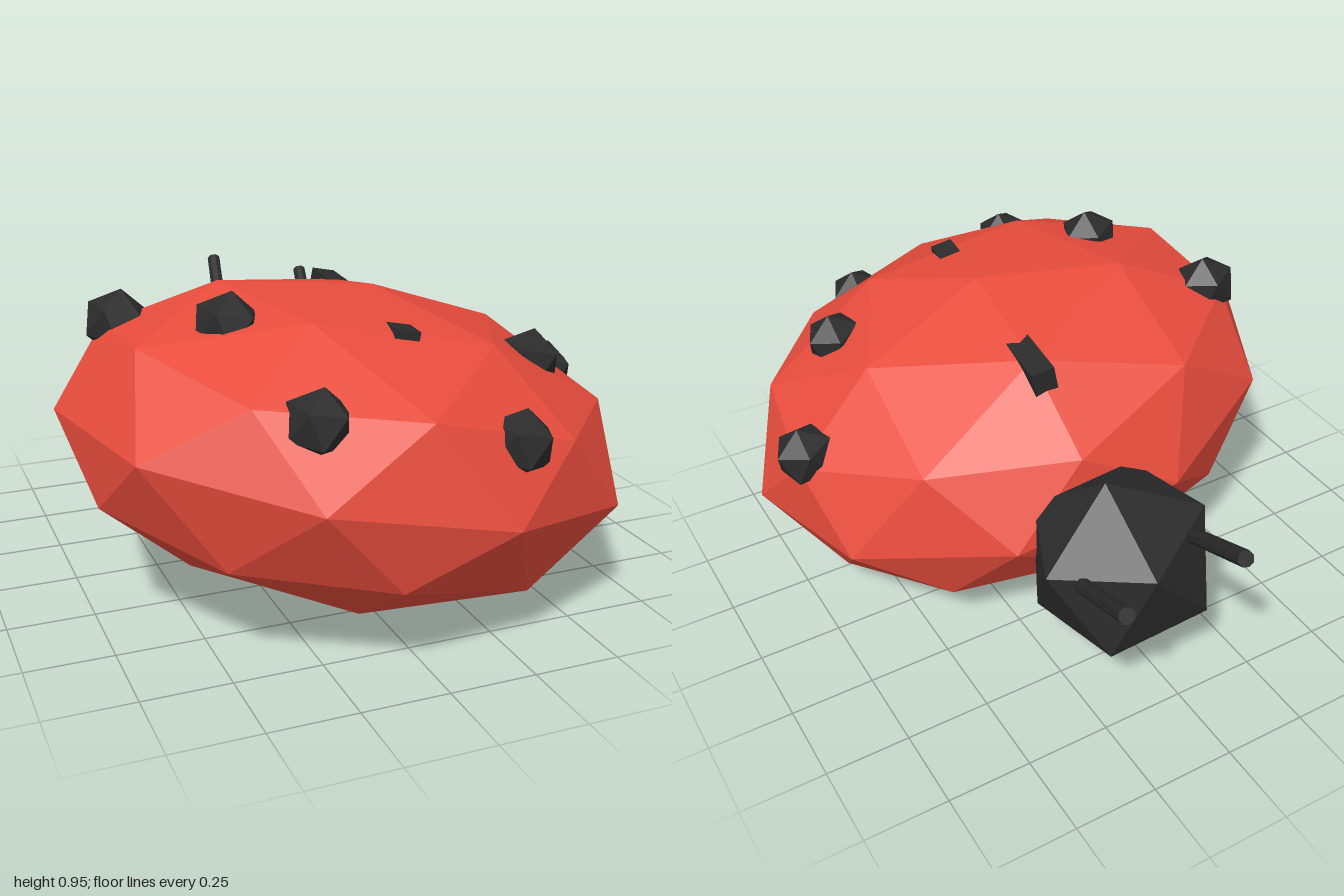
import * as THREE from 'three';

const red = new THREE.MeshStandardMaterial({ color: 0xe74c3c, flatShading: true });
const black = new THREE.MeshStandardMaterial({ color: 0x2b2b2b, flatShading: true });

// Faceted ball with one vertex straight up and an upper-ring vertex towards -z
function facetedBall(radius, detail) {
  const geometry = new THREE.IcosahedronGeometry(radius, detail);
  geometry.rotateX(-Math.atan((1 + Math.sqrt(5)) / 2));
  geometry.rotateY(Math.PI);
  return geometry;
}

function addPart(parent, name, geometry, material, x, y, z) {
  const mesh = new THREE.Mesh(geometry, material);
  mesh.name = name;
  mesh.position.set(x, y, z);
  parent.add(mesh);
  return mesh;
}

export function createModel() {
  const model = new THREE.Group();
  model.name = 'ladybug';

  // Whole beetle is tilted; its head points to -z
  const beetle = new THREE.Group();
  beetle.name = 'beetle';
  beetle.position.set(0, 0.46, 0.285);
  beetle.rotation.set(-0.014, -0.1, -0.19);
  model.add(beetle);

  // Flattened shell and round head
  const shell = facetedBall(1, 1);
  shell.scale(0.84, 0.454, 0.73);
  addPart(beetle, 'shell', shell, red, 0, 0, 0);
  addPart(beetle, 'head', facetedBall(0.29, 0), black, 0, -0.05, -0.808);

  // Wing seam, mostly sunk into the shell
  addPart(beetle, 'wingSeam', new THREE.BoxGeometry(0.07, 0.08, 0.8), black, 0, 0.36, -0.067);

  // Three mirrored pairs of spots
  const spot = facetedBall(0.096, 0);
  const spots = [[0.677, 0.222, -0.172], [0.444, 0.32, 0.164], [0.275, 0.187, 0.547]];

  // Straight antennae, from inside the head up and forward
  const base = new THREE.Vector3(0, 0, -0.847);
  const tip = new THREE.Vector3(0, 0.253, -1.258);
  const direction = tip.clone().sub(base);
  const antenna = new THREE.CylinderGeometry(0.023, 0.023, direction.length(), 8);
  const middle = base.clone().add(tip).multiplyScalar(0.5);

  for (const side of [1, -1]) {
    const label = side > 0 ? 'left' : 'right';
    spots.forEach(([x, y, z], i) => addPart(beetle, `${label}Spot${i + 1}`, spot, black, side * x, y, z));
    const mesh = addPart(beetle, `${label}Antenna`, antenna, black, side * 0.167, middle.y, middle.z);
    mesh.quaternion.setFromUnitVectors(new THREE.Vector3(0, 1, 0), direction.clone().normalize());
  }
  return model;
}
